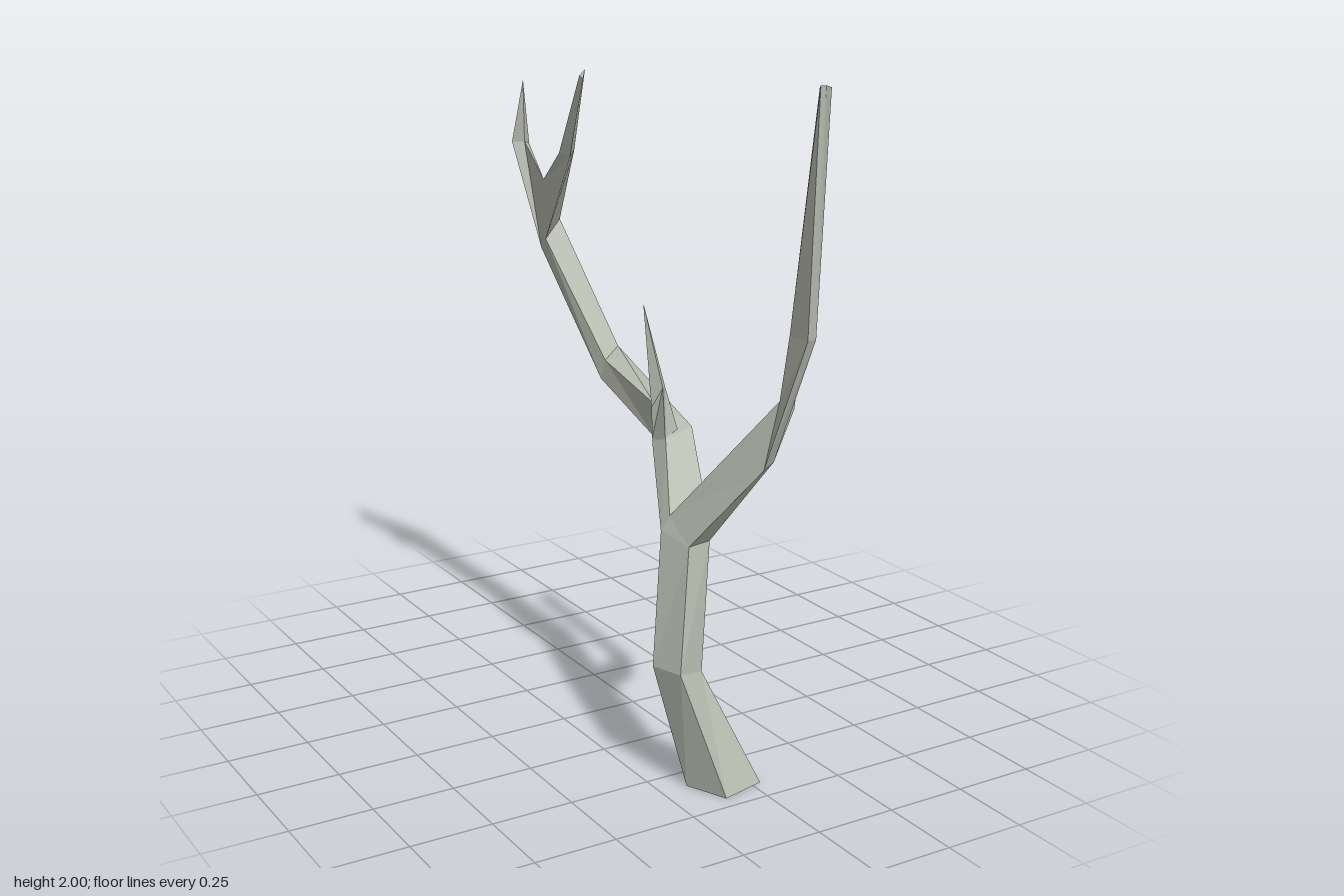
import * as THREE from 'three';

const bark = new THREE.MeshStandardMaterial({ color: 0xb4b8ac });
bark.name = 'paleBark';

// Skins rings of corners (counterclockwise seen from the tip), plus loose triangles
function limb(name, rings, { capStart = false, capEnd = true, extra = [] } = {}) {
  const pos = [];
  const tri = (...corners) => corners.forEach((c) => pos.push(...c));
  const cap = (ring) => {
    for (let i = 1; i < ring.length - 1; i++) tri(ring[0], ring[i], ring[i + 1]);
  };
  for (let r = 0; r < rings.length - 1; r++) {
    const a = rings[r], b = rings[r + 1], n = a.length;
    for (let i = 0; i < n; i++) {
      const j = (i + 1) % n;
      tri(a[i], a[j], b[j]);
      if (b[i] !== b[j]) tri(a[i], b[j], b[i]);
    }
  }
  if (capStart) cap([...rings[0]].reverse());
  const last = rings[rings.length - 1];
  if (capEnd && last[0] !== last[1]) cap(last);
  extra.forEach((t) => tri(...t));
  const geo = new THREE.BufferGeometry();
  geo.setAttribute('position', new THREE.Float32BufferAttribute(pos, 3));
  geo.computeVertexNormals();
  const mesh = new THREE.Mesh(geo, bark);
  mesh.name = name;
  return mesh;
}

const point = (p, n) => Array(n).fill(p);

export function createModel() {
  const group = new THREE.Group();
  group.name = 'bareBranch';

  // Corners shared at the lower fork
  const a = [-0.09, 0.68, 0.465], b = [0, 0.675, 0.435];
  const c = [0.0, 0.59, 0.36], d = [-0.115, 0.70, 0.352];
  const saddleL = [-0.09, 0.745, 0.36], saddleR = [0.03, 0.78, 0.36];

  // Corners shared at the upper fork
  const ua = [0.005, 1.405, -0.56], ub = [0.09, 1.455, -0.62];
  const uc = [0.07, 1.36, -0.60], ud = [0.01, 1.37, -0.60];
  const crotch = [0, 1.60, -0.56];

  group.add(limb('trunk', [
    [[-0.11, 0, 0.705], [0.03, 0, 0.67], [-0.03, 0, 0.53], [-0.165, 0, 0.58]],
    [[-0.185, 0.345, 0.575], [-0.085, 0.32, 0.53], [-0.10, 0.34, 0.47], [-0.21, 0.34, 0.465]],
    [a, b, c, d],
  ], { capStart: true, capEnd: false, extra: [[b, c, saddleR], [a, saddleL, d]] }));

  group.add(limb('frontBranch', [
    [a, b, saddleR, saddleL],
    [[0.05, 0.93, 0.63], [0.105, 0.94, 0.60], [0.165, 1.09, 0.61], [0.11, 1.12, 0.615]],
    [[0.125, 1.31, 0.72], [0.16, 1.31, 0.71], [0.172, 1.31, 0.63], [0.125, 1.31, 0.635]],
    [[0.15, 2, 0.715], [0.165, 2, 0.72], [0.205, 1.99, 0.69], [0.165, 1.99, 0.69]],
  ]));

  group.add(limb('backLimb', [
    [saddleL, saddleR, c, d],
    [[0, 0.92, 0.19], [0.105, 0.94, 0.17], [0.105, 0.875, 0.09], [-0.01, 0.90, 0.13]],
    [[0.02, 1.0, 0.10], [0.105, 0.95, 0.14], [0.105, 0.875, 0.085], [0.02, 0.90, 0.09]],
    [[0.03, 1.07, -0.22], [0.10, 1.10, -0.26], [0.105, 0.98, -0.22], [0.02, 1.01, -0.23]],
    [ua, ub, uc, ud],
  ], { capEnd: false, extra: [[ua, crotch, ud]] }));

  group.add(limb('middleTwig', [
    [[0, 0.91, 0.19], [0.06, 0.93, 0.165], [0.04, 0.99, 0.10], [-0.01, 0.91, 0.13]],
    [[0.005, 1.07, 0.165], [0.03, 1.06, 0.14], [0.02, 1.06, 0.093], [-0.022, 1.01, 0.145]],
    point([0, 1.31, 0.06], 4),
  ]));

  group.add(limb('upperFrontProng', [
    [ua, ub, crotch],
    [[-0.03, 1.70, -0.33], [0.03, 1.71, -0.41], [-0.03, 1.705, -0.40]],
    [[-0.03, 1.945, -0.245], [0, 1.97, -0.285], [-0.028, 1.955, -0.27]],
  ]));

  group.add(limb('upperBackProng', [
    [crotch, ub, uc, ud],
    [[-0.01, 1.71, -0.67], [0.015, 1.70, -0.685], [0, 1.71, -0.72], [-0.05, 1.71, -0.68]],
    point([-0.02, 1.91, -0.655], 4),
  ]));

  return group;
}
